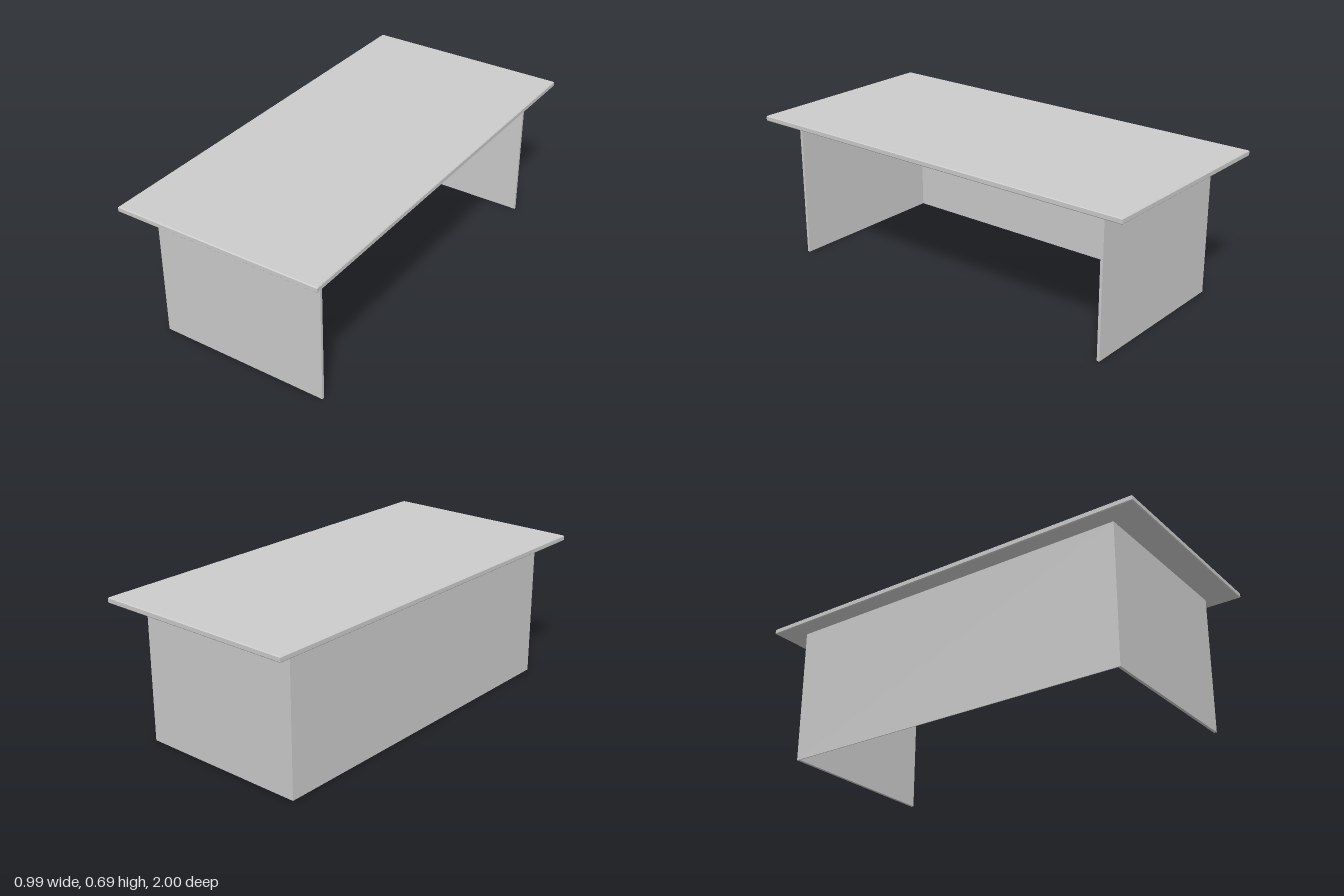
import * as THREE from 'three';

const material = new THREE.MeshStandardMaterial({ color: 0xcccccc, flatShading: true });

function addBox(group, name, [w, h, d], [x, y, z]) {
  const mesh = new THREE.Mesh(new THREE.BoxGeometry(w, h, d), material);
  mesh.name = name;
  mesh.position.set(x, y, z);
  group.add(mesh);
}

// Flat slab with chamfered edges all round
function chamferedSlab(w, h, d, c) {
  const x = w / 2 - c, z = d / 2 - c;
  const shape = new THREE.Shape([
    new THREE.Vector2(-x, -z), new THREE.Vector2(x, -z),
    new THREE.Vector2(x, z), new THREE.Vector2(-x, z),
  ]);
  const geometry = new THREE.ExtrudeGeometry(shape, {
    depth: h - 2 * c, bevelEnabled: true, bevelSize: c, bevelThickness: c, bevelSegments: 1,
  });
  return geometry.translate(0, 0, c).rotateX(-Math.PI / 2);
}

export function createModel() {
  const desk = new THREE.Group();
  desk.name = 'desk';

  // Tabletop, floating just above the panels
  const top = new THREE.Mesh(chamferedSlab(0.99, 0.026, 2, 0.004), material);
  top.name = 'tabletop';
  top.position.y = 0.663;
  desk.add(top);

  // End panels that carry the top
  const height = 0.655, thickness = 0.013;
  for (const [name, side] of [['frontEndPanel', 1], ['backEndPanel', -1]]) {
    addBox(desk, name, [0.822, height, thickness], [0, height / 2, side * (0.865 - thickness / 2)]);
  }

  // Thin long panel closing one side
  addBox(desk, 'modestyPanel', [0.004, height, 1.73], [-0.413, height / 2, 0]);

  return desk;
}
